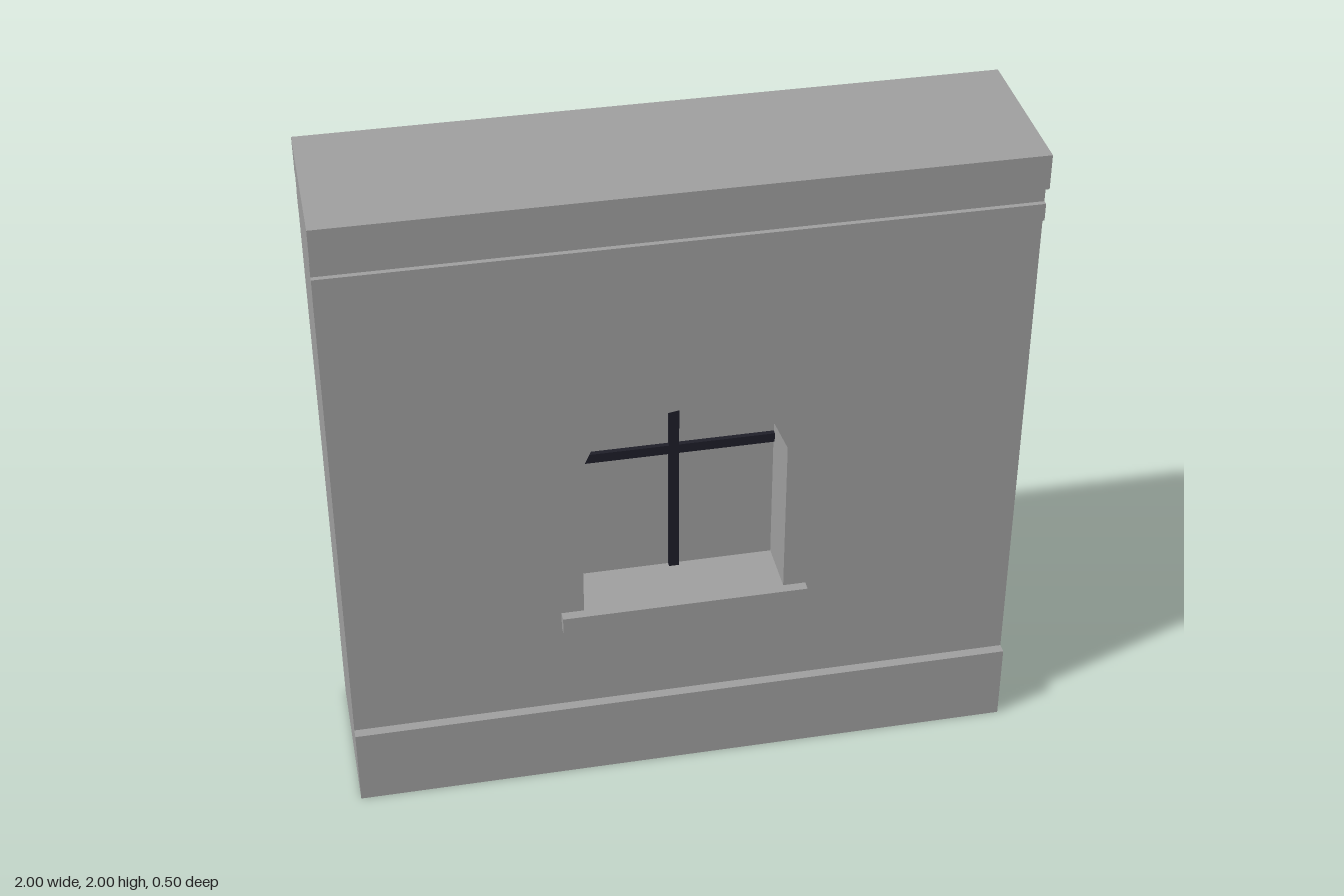
import * as THREE from 'three';

export function createModel() {
  const model = new THREE.Group();
  model.name = 'wallWithWindow';

  const stone = new THREE.MeshStandardMaterial({ color: 0x9f9f9f, side: THREE.DoubleSide });
  stone.name = 'stone';
  const iron = new THREE.MeshStandardMaterial({ color: 0x1e1e28 });
  iron.name = 'darkIron';

  const add = (name, geometry, material) => {
    const mesh = new THREE.Mesh(geometry, material);
    mesh.name = name;
    model.add(mesh);
    return mesh;
  };
  // box given by width, bottom, top and depth range
  const slab = (name, w, y0, y1, z0, z1, material = stone) =>
    add(name, new THREE.BoxGeometry(w, y1 - y0, z1 - z0), material)
      .position.set(0, (y0 + y1) / 2, (z0 + z1) / 2);

  // window outline: straight jambs under a six-sided elliptical arch
  const sillY = 0.6, springY = 1.105, halfW = 0.3, rise = 0.178;
  const outline = [new THREE.Vector2(-halfW, sillY), new THREE.Vector2(halfW, sillY)];
  for (let i = 0; i <= 6; i++) {
    const a = (i * Math.PI) / 6;
    outline.push(new THREE.Vector2(halfW * Math.cos(a), springY + rise * Math.sin(a)));
  }
  const extrude = (shape, depth) =>
    new THREE.ExtrudeGeometry(shape, { depth, bevelEnabled: false }).translate(0, 0, -depth / 2);

  // wall with the arched opening
  const wall = new THREE.Shape([
    new THREE.Vector2(-1, 0.25), new THREE.Vector2(1, 0.25),
    new THREE.Vector2(1, 1.895), new THREE.Vector2(-1, 1.895),
  ]);
  wall.holes.push(new THREE.Path(outline));
  add('wall', extrude(wall, 0.44), stone);

  // closed panel in the middle of the opening
  add('windowPanel', extrude(new THREE.Shape(outline), 0.1), stone);

  // plinth: a box left open underneath
  const plinth = new THREE.BoxGeometry(2, 0.25, 0.5);
  const faces = Array.from(plinth.index.array);
  faces.splice(18, 6);
  plinth.setIndex(faces);
  plinth.clearGroups();
  add('plinth', plinth, stone).position.y = 0.125;

  // top mouldings
  slab('cornice', 2, 1.895, 2, -0.25, 0.25);
  for (const [side, z0, z1] of [['front', 0.22, 0.235], ['back', -0.235, -0.22]]) {
    slab(side + 'StringCourse', 2, 1.787, 1.84, z0, z1);
  }

  // sills on both faces
  slab('frontSill', 0.735, 0.545, sillY, 0.22, 0.25);
  slab('backSill', 0.735, 0.545, sillY, -0.25, -0.22);

  // window cross bars, standing proud of the panel on both sides
  slab('verticalBar', 0.03, sillY, springY + rise, -0.065, 0.065, iron);
  slab('horizontalBar', 0.6, 1.017, 1.047, -0.065, 0.065, iron);

  return model;
}
